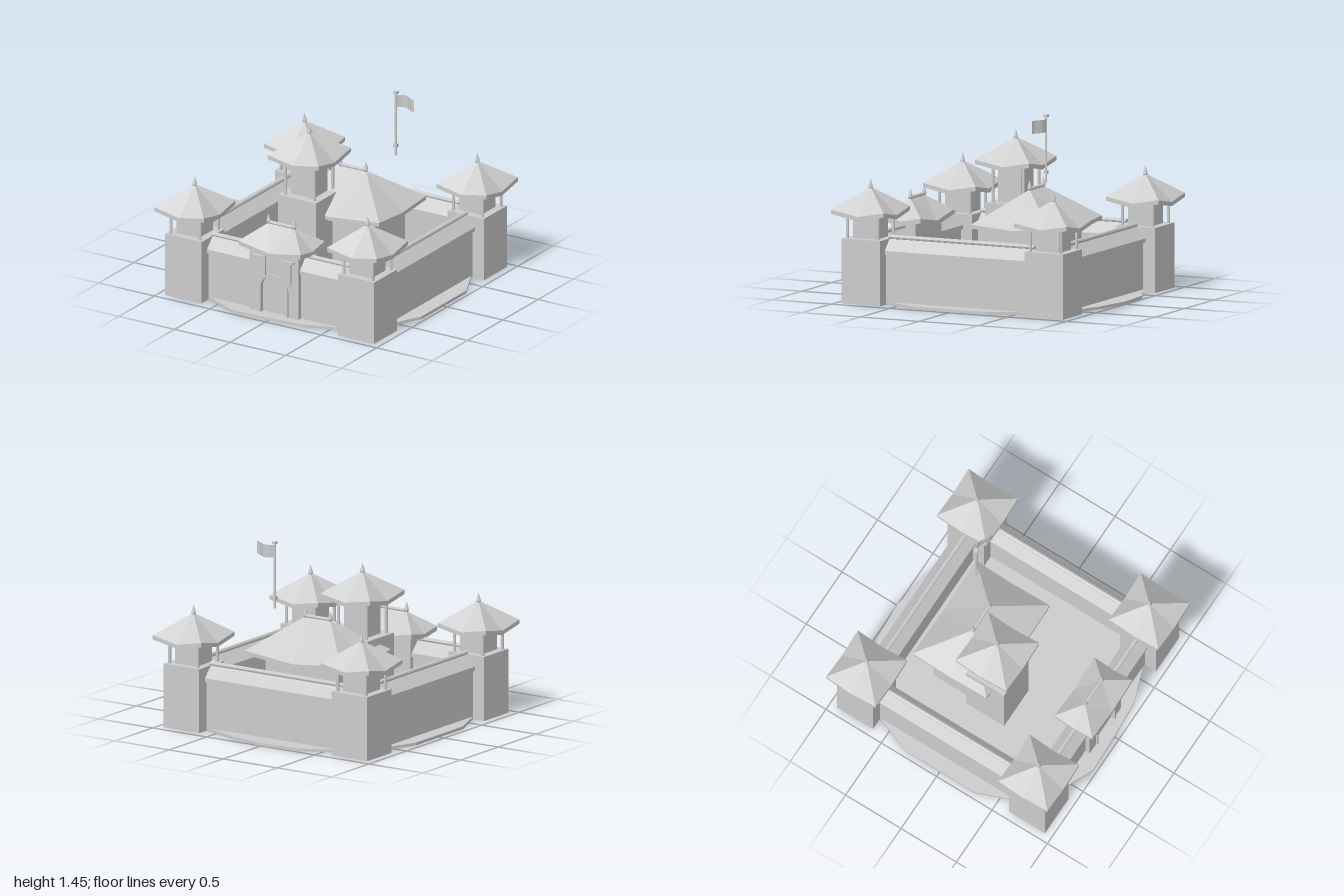
import * as THREE from 'three';

const stone = new THREE.MeshStandardMaterial({ color: 0xcccccc });
stone.name = 'pale stone';
stone.flatShading = true;
const cloth = stone.clone();
cloth.name = 'pale cloth';
cloth.side = THREE.DoubleSide;

function add(parent, name, geometry, x = 0, y = 0, z = 0, material = stone) {
  const mesh = new THREE.Mesh(geometry, material);
  mesh.name = name;
  mesh.position.set(x, y, z);
  parent.add(mesh);
  return mesh;
}

// Box standing on y0
function block(parent, name, w, y0, y1, d, x = 0, z = 0) {
  return add(parent, name, new THREE.BoxGeometry(w, y1 - y0, d), x, (y0 + y1) / 2, z);
}

function post(parent, name, r, y0, y1, x = 0, z = 0) {
  return add(parent, name, new THREE.CylinderGeometry(r, r, y1 - y0, 8), x, (y0 + y1) / 2, z);
}

function shapeOf(points) {
  return new THREE.Shape(points.map(([x, y]) => new THREE.Vector2(x, y)));
}

// Hipped roof: lifted corners, eaves that sag at mid-side, a thick rim
function hipRoof(w, d, ridge, apex, corner, sagFront, sagSide, thick) {
  const a = w / 2, b = d / 2;
  const rim = [
    [-a, corner, b], [0, corner - sagFront, b], [a, corner, b], [a, corner - sagSide, 0],
    [a, corner, -b], [0, corner - sagFront, -b], [-a, corner, -b], [-a, corner - sagSide, 0],
  ];
  const L = [-ridge, apex, 0], R = [ridge, apex, 0];
  const tops = [L, R, R, R, R, L, L, L];
  const low = rim.map(([x, y, z]) => [x, y - thick, z]);
  const centre = [0, corner - sagFront - thick + 0.01, 0];
  const out = [];
  const tri = (...p) => p.forEach((v) => out.push(...v));
  for (let i = 0; i < 8; i++) {
    const j = (i + 1) % 8;
    tri(rim[i], rim[j], tops[i]);
    tri(low[i], low[j], rim[j]);
    tri(low[i], rim[j], rim[i]);
    tri(low[j], low[i], centre);
  }
  if (ridge > 0) {
    tri(rim[1], R, L);
    tri(rim[5], L, R);
  }
  const g = new THREE.BufferGeometry();
  g.setAttribute('position', new THREE.Float32BufferAttribute(out, 3));
  g.computeVertexNormals();
  return g;
}

function finial(parent, x, y, z) {
  const profile = [[0.012, -0.015], [0.019, 0], [0.016, 0.015], [0.008, 0.04], [0, 0.07]];
  add(parent, 'finial', new THREE.LatheGeometry(profile.map(([r, h]) => new THREE.Vector2(r, h)), 8), x, y, z);
}

// Square tower: solid base, lantern room with four posts, pyramid roof
function tower(name, x, z, base, top, apex, half, roofW) {
  const g = new THREE.Group();
  g.name = name;
  g.position.set(x, 0, z);
  block(g, 'towerBase', half * 2, 0, base, half * 2);
  block(g, 'lanternRoom', 0.2, base, top, 0.2);
  for (const sx of [-1, 1]) for (const sz of [-1, 1]) {
    post(g, 'towerPost', 0.012, base, top, sx * 0.13, sz * 0.13);
  }
  add(g, 'towerRoof', hipRoof(roofW, roofW, 0, apex, apex - 0.163, 0.042, 0.042, 0.033));
  finial(g, 0, apex - 0.005, 0);
  return g;
}

function ridgeTrim(parent, half, y, z) {
  add(parent, 'ridgeBeam', new THREE.CylinderGeometry(0.014, 0.014, half * 2, 8).rotateZ(Math.PI / 2), 0, y, z);
  for (const s of [-1, 1]) finial(parent, s * half, y + 0.003, z);
}

// Curtain wall with a gabled cap and a round ridge, running along x
function wall(name, angle) {
  const g = new THREE.Group();
  g.name = name;
  const len = 1.24;
  block(g, 'wallBody', len, 0.01, 0.4, 0.13, 0, 0.775);
  const cap = shapeOf([[-0.085, 0.385], [0.085, 0.385], [0.085, 0.415], [0, 0.505], [-0.085, 0.415]]);
  const capGeo = new THREE.ExtrudeGeometry(cap, { depth: len, bevelEnabled: false });
  capGeo.translate(0, 0, -len / 2).rotateY(Math.PI / 2);
  add(g, 'wallCap', capGeo, 0, 0, 0.775);
  add(g, 'wallRidge', new THREE.CylinderGeometry(0.018, 0.018, len, 8).rotateZ(Math.PI / 2), 0, 0.514, 0.775);
  g.rotation.y = angle;
  return g;
}

// Arch outline standing on the ground
function archPath(path, r, spring, y0) {
  path.moveTo(-r, y0);
  path.lineTo(r, y0);
  path.lineTo(r, spring);
  path.absarc(0, spring, r, 0, Math.PI, false);
  path.lineTo(-r, y0);
  return path;
}

function gatehouse() {
  const g = new THREE.Group();
  g.name = 'gatehouse';
  block(g, 'gateBody', 0.44, 0, 0.53, 0.18, 0, 0.765);
  const front = shapeOf([[-0.22, 0], [0.22, 0], [0.22, 0.53], [-0.22, 0.53]]);
  front.holes.push(archPath(new THREE.Path(), 0.115, 0.222, 0.004));
  add(g, 'gateFront', new THREE.ExtrudeGeometry(front, { depth: 0.025, bevelEnabled: false, curveSegments: 6 }), 0, 0, 0.855);
  const ring = archPath(new THREE.Shape(), 0.13, 0.222, 0);
  ring.holes.push(archPath(new THREE.Path(), 0.113, 0.222, 0.004));
  add(g, 'archFrame', new THREE.ExtrudeGeometry(ring, { depth: 0.012, bevelEnabled: false, curveSegments: 6 }), 0, 0, 0.88);
  // Brackets and their caps beside the arch
  for (const s of [-1, 1]) {
    const pts = [[0.07, 0.33], [0.125, 0.27], [0.16, 0.3], [0.16, 0.47], [0.07, 0.47]];
    const bracket = shapeOf(pts.map(([x, y]) => [s * x, y]));
    add(g, 'gateBracket', new THREE.ExtrudeGeometry(bracket, { depth: 0.016, bevelEnabled: false }), 0, 0, 0.88);
    block(g, 'bracketCap', 0.12, 0.47, 0.485, 0.03, s * 0.125, 0.89);
  }
  add(g, 'gateRoof', hipRoof(0.56, 0.34, 0.115, 0.712, 0.585, 0.05, 0.03, 0.035), 0, 0, 0.772);
  ridgeTrim(g, 0.115, 0.718, 0.772);
  return g;
}

function hall() {
  const g = new THREE.Group();
  g.name = 'hall';
  block(g, 'hallBody', 0.66, 0.01, 0.555, 0.44, 0, -0.24);
  add(g, 'hallRoof', hipRoof(0.89, 0.665, 0.115, 0.845, 0.597, 0.045, 0.025, 0.03), 0, 0, -0.242);
  ridgeTrim(g, 0.115, 0.85, -0.242);
  return g;
}

function banner() {
  const g = new THREE.Group();
  g.name = 'banner';
  g.position.set(0.253, 0, -0.45);
  post(g, 'flagPole', 0.009, 0.93, 1.45);
  block(g, 'poleCollar', 0.03, 1.0, 1.025, 0.03);
  block(g, 'poleCap', 0.032, 1.435, 1.453, 0.032);
  // Waving cloth
  const flag = new THREE.PlaneGeometry(0.172, 0.1, 6, 1).translate(0.096, 0, 0);
  const p = flag.attributes.position;
  for (let i = 0; i < p.count; i++) {
    const t = (p.getX(i) - 0.01) / 0.172;
    p.setZ(i, -0.028 * Math.sin(t * Math.PI * 1.5));
  }
  flag.computeVertexNormals();
  add(g, 'flag', flag, 0, 1.375, 0, cloth);
  return g;
}

export function createModel() {
  const model = new THREE.Group();
  model.name = 'fort';

  // Uneven ground slab: one radius every 18 degrees, from +x toward the back
  const radii = [0.97, 1.02, 1.03, 1.04, 0.996, 1, 1.03, 1.04, 1.04, 1.007,
    0.956, 1.007, 1.04, 1.04, 1.026, 0.962, 0.99, 1.03, 1.03, 1.02];
  const outline = shapeOf(radii.map((r, i) => {
    const a = (i * Math.PI) / 10;
    return [r * Math.cos(a), r * Math.sin(a)];
  }));
  add(model, 'ground', new THREE.ExtrudeGeometry(outline, { depth: 0.022, bevelEnabled: false }).rotateX(-Math.PI / 2));

  ['frontWall', 'leftWall', 'backWall', 'rightWall'].forEach((n, i) => model.add(wall(n, (i * Math.PI) / 2)));
  for (const sx of [-1, 1]) for (const sz of [-1, 1]) {
    model.add(tower('cornerTower', sx * 0.777, sz * 0.777, 0.5, 0.68, 0.888, 0.163, 0.446));
  }
  model.add(tower('watchtower', -0.215, 0.042, 0.695, 0.975, 1.19, 0.172, 0.46));
  model.add(gatehouse(), hall(), banner());
  return model;
}
